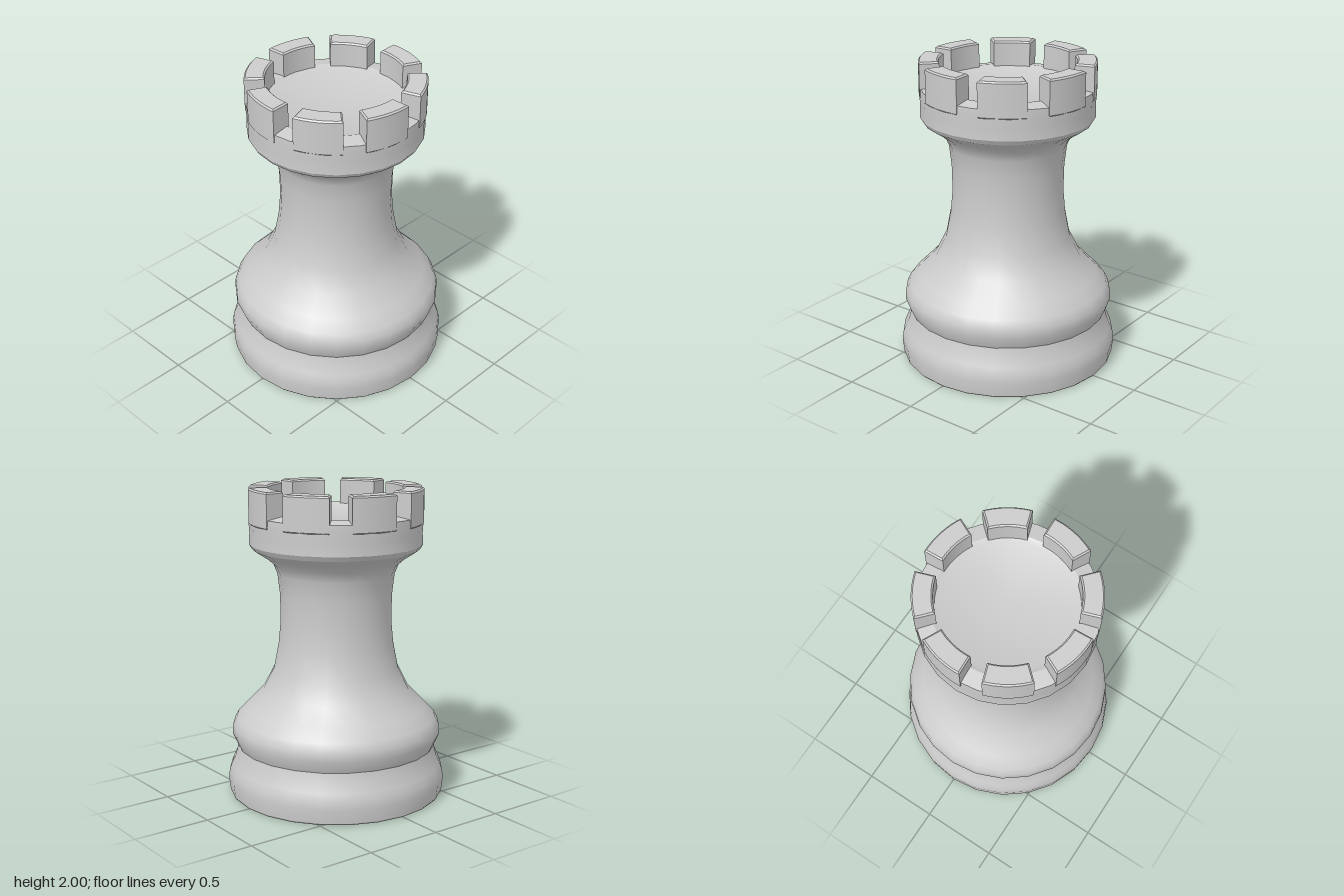
import * as THREE from 'three';
import { toCreasedNormals } from 'three/addons/utils/BufferGeometryUtils.js';

const SIDES = 24;
const CREASE = THREE.MathUtils.degToRad(31);

const stone = new THREE.MeshStandardMaterial({ color: 0xcccccc });
stone.name = 'light grey';

function turned(name, profile) {
  const points = profile.map(([r, y]) => new THREE.Vector2(r, y));
  const mesh = new THREE.Mesh(toCreasedNormals(new THREE.LatheGeometry(points, SIDES), CREASE), stone);
  mesh.name = name;
  return mesh;
}

// One battlement block: a ring sector with softened top edges; its lower end is buried in the rim
function merlonGeometry(inner, outer, span, bottom, top) {
  const bevel = 0.01, r0 = inner + bevel, r1 = outer - bevel;
  const a = span / 2 - bevel / outer;
  const shape = new THREE.Shape();
  shape.absarc(0, 0, r1, -a, a, false);
  shape.absarc(0, 0, r0, a, -a, true);
  shape.closePath();
  const geometry = new THREE.ExtrudeGeometry(shape, {
    depth: top - bottom - 2 * bevel, curveSegments: 5,
    bevelEnabled: true, bevelSize: bevel, bevelThickness: bevel, bevelSegments: 1,
  });
  geometry.translate(0, 0, bottom + bevel);
  geometry.rotateX(-Math.PI / 2);
  return toCreasedNormals(geometry, CREASE);
}

export function createModel() {
  const model = new THREE.Group();
  model.name = 'chessRook';

  // Foot with a rounded lower band
  model.add(turned('base', [
    [0, 0], [0.69, 0], [0.7, 0.012], [0.71, 0.1], [0.703, 0.155],
    [0.685, 0.2], [0.662, 0.25], [0.645, 0.32],
  ]));

  // Swelling shoulder that sweeps up into the waist and flares out under the crown
  model.add(turned('body', [
    [0.645, 0.32], [0.68, 0.4], [0.676, 0.46], [0.65, 0.51], [0.58, 0.58],
    [0.475, 0.69], [0.405, 0.83], [0.372, 1.0], [0.358, 1.15], [0.361, 1.32],
    [0.376, 1.45], [0.4, 1.51], [0.45, 1.555], [0.535, 1.61],
  ]));

  // Crown wall, notch sills and the sunken floor
  model.add(turned('crown', [
    [0.535, 1.61], [0.553, 1.64], [0.55, 1.72], [0.555, 1.79], [0.552, 1.83],
    [0.45, 1.845], [0.415, 1.83], [0, 1.83],
  ]));

  // Eight battlements
  const block = merlonGeometry(0.43, 0.556, THREE.MathUtils.degToRad(31), 1.77, 2);
  for (let i = 0; i < 8; i++) {
    const merlon = new THREE.Mesh(block, stone);
    merlon.name = 'battlement' + (i + 1);
    merlon.rotation.y = THREE.MathUtils.degToRad(78.5 + 45 * i);
    model.add(merlon);
  }
  return model;
}
